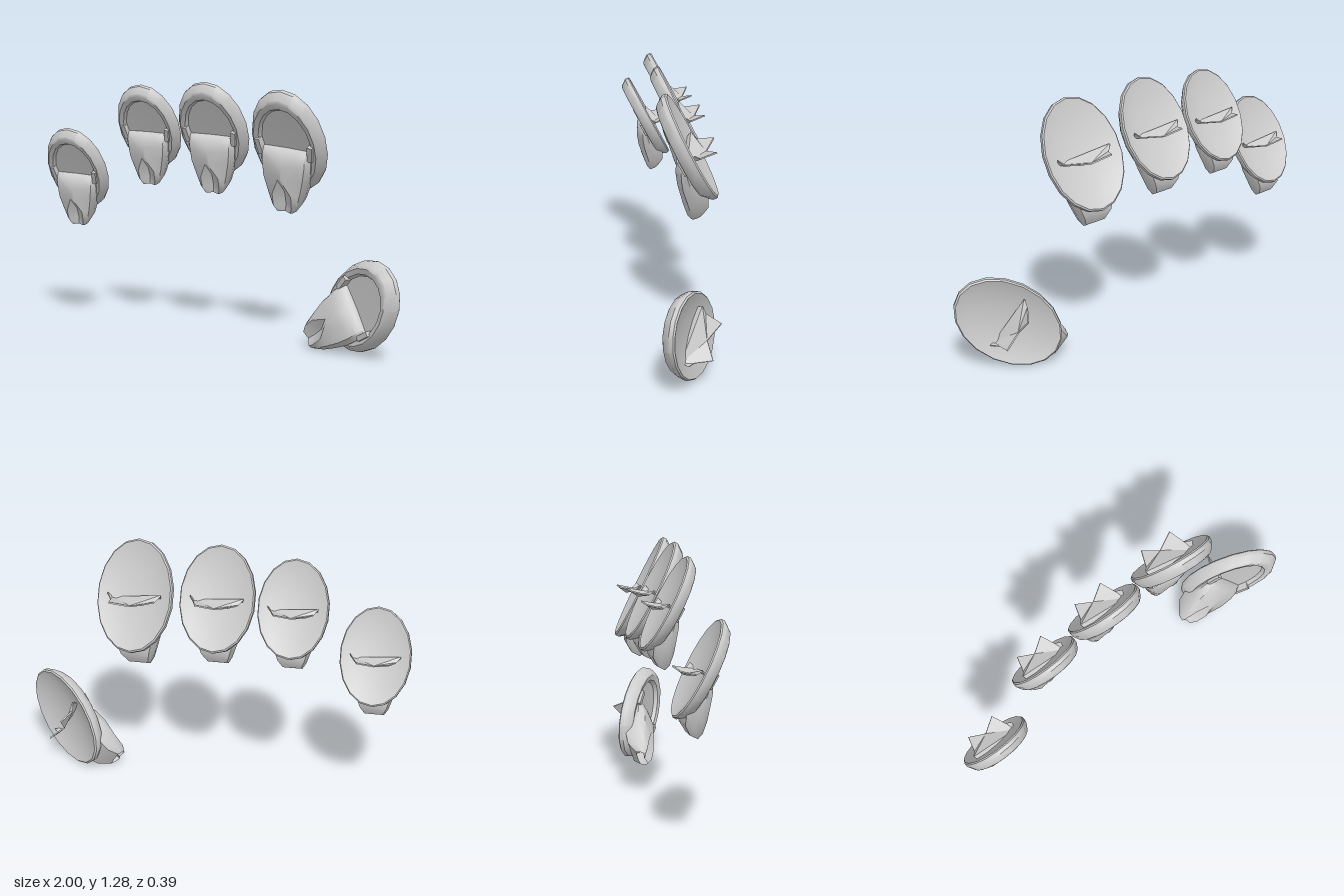
import * as THREE from 'three';
import { toCreasedNormals } from 'three/addons/utils/BufferGeometryUtils.js';

const material = new THREE.MeshStandardMaterial({ color: 0xcccccc, side: THREE.DoubleSide });

function part(name, geometry, crease = 0.6) {
  const mesh = new THREE.Mesh(toCreasedNormals(geometry, crease), material);
  mesh.name = name;
  return mesh;
}

// Oval dish: hollow at the back, slanted band and recessed floor at the front.
function dishGeometry() {
  const profile = [
    [0, 0.026], [0.4, 0.022], [0.75, 0.01], [0.97, -0.006], [1, 0.0], [1, 0.018],
    [0.9, 0.05], [0.85, 0.055], [0.73, 0.05], [0.68, 0.034], [0, 0.03],
  ].map(([r, w]) => new THREE.Vector2(r, w));
  return new THREE.LatheGeometry(profile, 18).rotateX(Math.PI / 2).scale(0.172, 0.24, 1);
}

// Tapering nose lofted through sections:
// height, half width, front, centre groove, back, groove half width
function noseGeometry() {
  const sections = [
    [-0.02, 0.112, 0.055, 0.058, 0.03, 0.5],
    [-0.035, 0.116, 0.08, 0.086, 0.03, 0.5],
    [-0.07, 0.118, 0.1, 0.108, 0.03, 0.4],
    [-0.125, 0.11, 0.122, 0.126, 0.028, 0.15],
    [-0.19, 0.09, 0.136, 0.108, 0.025, 0.5],
    [-0.245, 0.07, 0.143, 0.112, 0.05, 0.62],
    [-0.275, 0.048, 0.138, 0.126, 0.095, 0.65],
  ];
  const pos = [], idx = [], n = 10;
  for (const [u, h, f, c, b, g] of sections) {
    const at = (t) => b + (f - b) * t;
    const ring = [
      [-0.92, b], [-1, at(0.45)], [-0.85, at(0.82)], [-g, f], [0, c],
      [g, f], [0.85, at(0.82)], [1, at(0.45)], [0.92, b], [0, b],
    ];
    for (const [x, w] of ring) pos.push(x * h, u, w);
  }
  for (let s = 0; s < sections.length - 1; s++) {
    for (let j = 0; j < n; j++) {
      const a = s * n + j, d = s * n + (j + 1) % n;
      idx.push(a, a + n, d + n, a, d + n, d);
    }
  }
  // Shelf on top; the tip stays open
  for (let j = 1; j < n - 1; j++) idx.push(0, j, j + 1);
  const geometry = new THREE.BufferGeometry();
  geometry.setAttribute('position', new THREE.Float32BufferAttribute(pos, 3));
  geometry.setIndex(idx);
  return geometry;
}

// Thin jagged plate that pierces the dish at its back, with upturned ends.
function plateGeometry() {
  const half = [[0.075, -0.085], [0.1, -0.018], [0.122, -0.008], [0.112, 0.03]];
  const outline = [[0, -0.04], ...half, ...half.map(([x, w]) => [-x, w]).reverse()];
  const shape = new THREE.Shape(outline.map(([x, w]) => new THREE.Vector2(x, w)));
  const g = new THREE.ExtrudeGeometry(shape, { depth: 0.006, bevelEnabled: false }).rotateX(Math.PI / 2);
  const p = g.attributes.position;
  for (let i = 0; i < p.count; i++) {
    p.setY(i, p.getY(i) - 0.045 + 0.05 * (p.getX(i) / 0.12) ** 4);
  }
  return g;
}

function buildTip(name) {
  const tip = new THREE.Group();
  tip.name = name;
  tip.add(part('dish', dishGeometry()), part('nose', noseGeometry(), 0.7), part('jaggedPlate', plateGeometry(), 0.3));
  // Small tabs joining the ring to the nose
  for (const side of [-1, 1]) {
    const tab = part('sideTab', new THREE.BoxGeometry(0.022, 0.07, 0.03), 0.3);
    tab.position.set(side * 0.121, -0.015, 0.05);
    tab.rotation.z = side * -0.15;
    tip.add(tab);
  }
  return tip;
}

export function createModel() {
  const model = new THREE.Group();
  model.name = 'fingertipSet';

  // Four fingers: name, centre, scale, yaw, roll
  const fingers = [
    ['littleFinger', [-0.826, 0.827, -0.025], 1.0, 0, -0.05],
    ['ringFinger', [-0.432, 1.055, -0.085], 1.0, 0, -0.04],
    ['middleFinger', [-0.058, 1.059, -0.073], 1.09, -0.03, -0.05],
    ['indexFinger', [0.366, 1.015, -0.045], 1.17, -0.12, -0.1],
  ];
  for (const [name, centre, scale, yaw, roll] of fingers) {
    const tip = buildTip(name);
    tip.position.set(...centre);
    tip.scale.setScalar(scale);
    tip.rotation.set(0.48, yaw, roll, 'ZYX');
    model.add(tip);
  }

  // Thumb, turned inward and laid over
  const thumb = buildTip('thumb');
  const up = new THREE.Vector3(0.68, 0.59, 0.43).normalize();
  const front = new THREE.Vector3(-0.43, 0, 0.68).normalize();
  const across = new THREE.Vector3().crossVectors(up, front);
  thumb.quaternion.setFromRotationMatrix(new THREE.Matrix4().makeBasis(across, up, front));
  thumb.position.set(0.785, 0.245, 0.018);
  thumb.scale.setScalar(1.17);
  model.add(thumb);
  return model;
}
